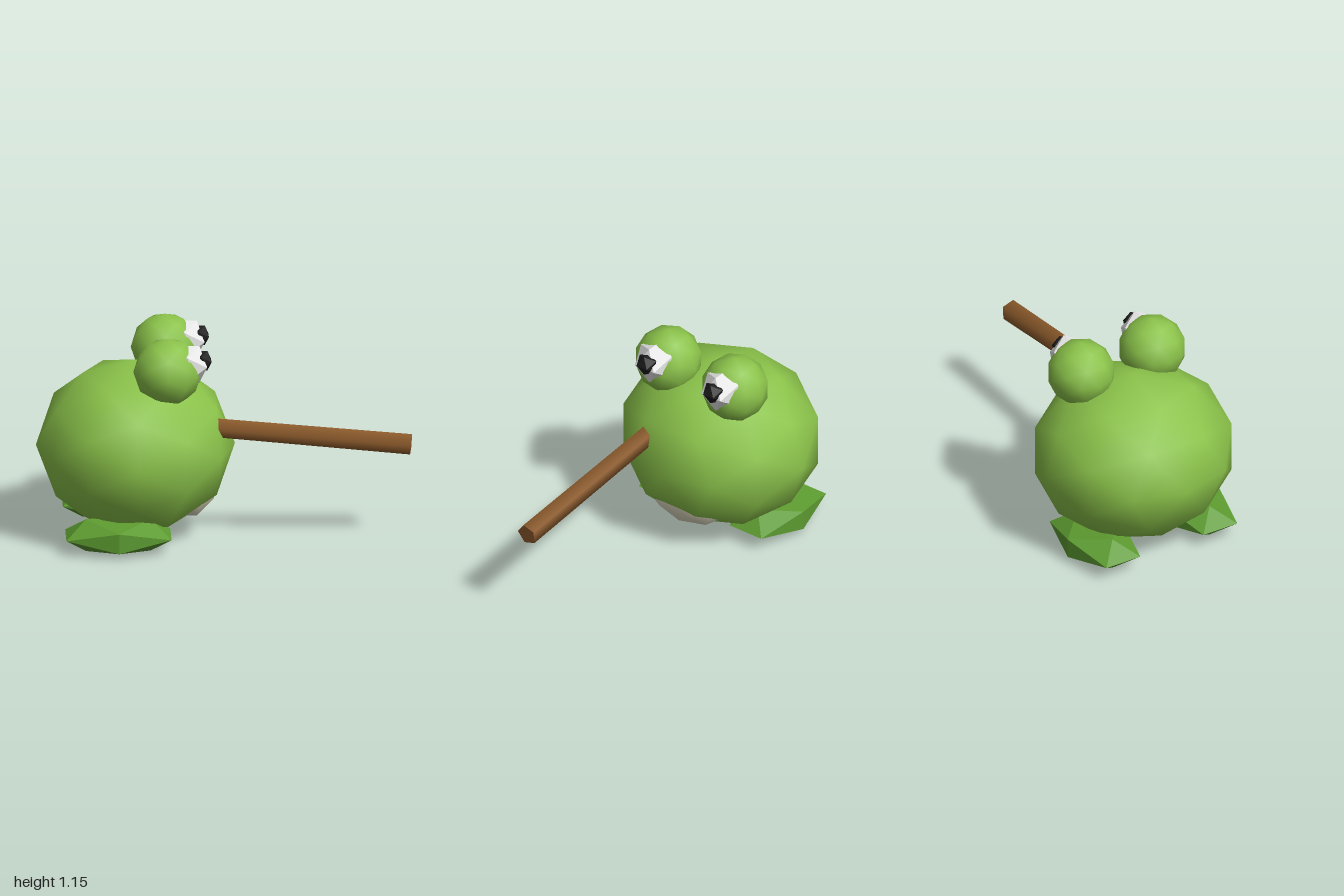
import * as THREE from 'three';

const mat = (name, color, flatShading = false) => {
  const m = new THREE.MeshStandardMaterial({ color });
  m.name = name;
  m.flatShading = flatShading;
  return m;
};

export function createModel() {
  const skin = mat('skin green', 0x8bc34a);
  const footGreen = mat('foot green', 0x5c9a30, true);
  const cream = mat('mouth cream', 0xe0dcc0);
  const white = mat('eye white', 0xeeeeee, true);
  const black = mat('pupil black', 0x1c1c1c, true);
  const brown = mat('stick brown', 0x8b5a2b);

  const round = new THREE.IcosahedronGeometry(1, 1); // smooth ball
  const faceted = new THREE.IcosahedronGeometry(1, 0); // hard gem-like ball
  const root = new THREE.Group();
  root.name = 'frog';

  const blob = (name, geometry, material, position, radii) => {
    const mesh = new THREE.Mesh(geometry, material);
    mesh.name = name;
    mesh.position.set(...position);
    mesh.scale.set(...radii);
    root.add(mesh);
  };

  // Body, with the pale patch pushing out low on the +x side
  blob('body', round, skin, [-0.47, 0.5, 0], [0.53, 0.47, 0.557]);
  blob('mouthPatch', round, cream, [-0.204, 0.342, 0], [0.184, 0.245, 0.3]);

  // Paired eyes and feet
  for (const [side, s] of [['left', -1], ['right', 1]]) {
    const z = 0.225 * s;
    blob(side + 'EyeBulge', round, skin, [-0.305, 0.97, z], [0.183, 0.183, 0.183]);
    blob(side + 'EyeWhite', faceted, white, [-0.2, 1.01, z], [0.121, 0.121, 0.121]);
    blob(side + 'Pupil', faceted, black, [-0.127, 1.03, z], [0.064, 0.064, 0.064]);
    blob(side + 'Foot', faceted, footGreen, [-0.57, 0.0885, 0.307 * s], [0.329, 0.104, 0.203]);
  }

  // Five-sided stick, sloping down away from the body
  const start = new THREE.Vector3(-0.1, 0.647, 0.165);
  const end = new THREE.Vector3(0.993, 0.54, 0.167);
  const dir = end.clone().sub(start);
  const stick = new THREE.Mesh(new THREE.CylinderGeometry(0.06, 0.055, dir.length(), 5), brown);
  stick.name = 'stick';
  stick.position.copy(start).lerp(end, 0.5);
  stick.rotation.z = Math.atan2(dir.y, dir.x) - Math.PI / 2;
  root.add(stick);

  return root;
}
